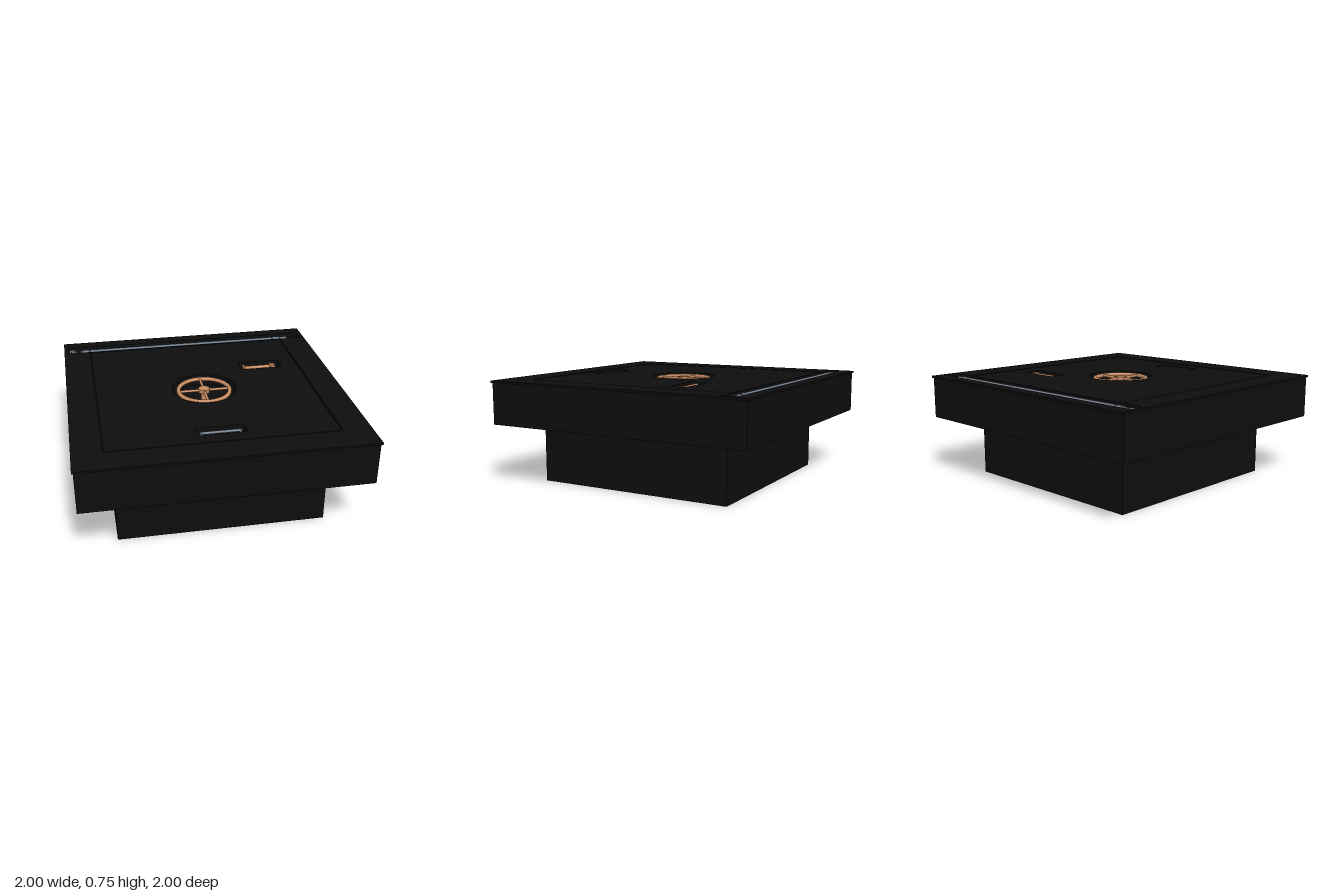
import * as THREE from 'three';

const black = new THREE.MeshStandardMaterial({ name: 'black', color: 0x0d0d0d });
const steel = new THREE.MeshStandardMaterial({ name: 'steel', color: 0x6f7b87 });
const copper = new THREE.MeshStandardMaterial({ name: 'copper', color: 0xc68a5e });

const FLOOR = 0.655, TOP = 0.745;

export function createModel() {
  const root = new THREE.Group();
  root.name = 'floorHatch';

  const add = (name, geo, mat, x = 0, y = 0, z = 0, parent = root) => {
    const m = new THREE.Mesh(geo, mat);
    m.name = name;
    m.position.set(x, y, z);
    parent.add(m);
    return m;
  };
  const box = (name, mat, w, h, d, x, y, z, parent) =>
    add(name, new THREE.BoxGeometry(w, h, d), mat, x, y, z, parent);
  // cylinder lying along x, from x0 to x1
  const rod = (name, mat, r, x0, x1, y, z, parent, sides = 24) =>
    add(name, new THREE.CylinderGeometry(r, r, x1 - x0, sides).rotateZ(Math.PI / 2),
      mat, (x0 + x1) / 2, y, z, parent);
  // closed rectangle in plan, z measured towards the front
  const rect = (C, x0, x1, z0, z1) => new C([
    new THREE.Vector2(x0, -z1), new THREE.Vector2(x1, -z1),
    new THREE.Vector2(x1, -z0), new THREE.Vector2(x0, -z0)]);
  // horizontal plate with holes
  const plate = (name, shape, holes, y0, y1) => {
    shape.holes.push(...holes);
    const geo = new THREE.ExtrudeGeometry(shape, { depth: y1 - y0, bevelEnabled: false, curveSegments: 32 });
    return add(name, geo.rotateX(-Math.PI / 2), black, 0, y0, 0);
  };

  // body
  box('lowerShaft', black, 1.47, 0.43, 1.47, 0, 0.215, 0);
  box('upperBody', black, 1.98, FLOOR - 0.43, 1.98, 0, (FLOOR + 0.43) / 2, 0);

  // surround with door opening and hinge slot, topped by a thin lip
  const openings = () => [
    rect(THREE.Path, -0.797, 0.797, -0.797, 0.797),
    rect(THREE.Path, -0.97, 0.97, -0.905, -0.803)];
  plate('surround', rect(THREE.Shape, -0.99, 0.99, -0.99, 0.99), openings(), FLOOR, 0.73);
  plate('topLip', rect(THREE.Shape, -1, 1, -1, 1), openings(), 0.73, TOP);

  // door with pockets for the wheel and handles
  const wheelPocket = new THREE.Path();
  wheelPocket.absarc(0, 0, 0.235, 0, Math.PI * 2);
  plate('door', rect(THREE.Shape, -0.788, 0.788, -0.788, 0.788), [
    wheelPocket,
    rect(THREE.Path, 0.34, 0.66, -0.385, -0.265),
    rect(THREE.Path, -0.17, 0.17, 0.59, 0.69)], FLOOR, TOP - 0.002);

  // hand wheel
  const wheel = new THREE.Group();
  wheel.name = 'handWheel';
  wheel.position.y = 0.725;
  root.add(wheel);
  add('wheelRim', new THREE.TorusGeometry(0.19, 0.015, 12, 48).rotateX(Math.PI / 2), copper, 0, 0, 0, wheel);
  for (let i = 0; i < 2; i++) {
    rod('wheelSpoke', copper, 0.01, -0.19, 0.19, 0, 0, wheel, 12).rotation.y = i * Math.PI / 2;
  }
  add('wheelHub', new THREE.CylinderGeometry(0.042, 0.042, 0.03, 20), copper, 0, 0, 0, wheel);
  add('wheelStem', new THREE.CylinderGeometry(0.025, 0.025, 0.07, 16), copper, 0, -0.035, 0, wheel);

  // copper latch lever
  const latch = new THREE.Group();
  latch.name = 'latchLever';
  latch.position.set(0, 0.725, -0.325);
  root.add(latch);
  rod('leverBar', copper, 0.013, 0.375, 0.6, 0, 0, latch, 12);
  box('leverCrossbar', copper, 0.016, 0.02, 0.08, 0.378, 0, 0, latch);
  box('leverBlock', copper, 0.04, 0.09, 0.04, 0.6, -0.03, 0, latch);

  // steel pull handle
  rod('pullHandle', steel, 0.01, -0.14, 0.14, 0.728, 0.64, root, 12);
  for (const s of [-1, 1]) box('pullHandlePost', steel, 0.016, 0.08, 0.02, s * 0.135, 0.695, 0.64);

  // hinge barrel with end fittings
  const hinge = new THREE.Group();
  hinge.name = 'hingeBarrel';
  hinge.position.set(0, 0.702, -0.85);
  root.add(hinge);
  rod('barrel', steel, 0.039, -0.795, 0.735, 0, 0, hinge);
  rod('barrelCollar', steel, 0.04, -0.85, -0.8, 0, 0, hinge);
  rod('barrelCollar', steel, 0.041, 0.74, 0.8, 0, 0, hinge);
  rod('barrelEnd', steel, 0.038, 0.805, 0.86, 0, 0, hinge);
  rod('barrelSleeve', black, 0.033, 0.86, 0.95, 0, 0, hinge);
  rod('neck', steel, 0.018, -0.93, -0.85, 0, 0.005, hinge, 16);
  box('neckFlange', steel, 0.02, 0.06, 0.05, -0.862, 0, 0.005, hinge);
  box('valveBody', steel, 0.05, 0.06, 0.045, -0.92, 0, 0.014, hinge);
  rod('valveStem', steel, 0.01, -0.96, -0.91, 0.02, -0.04, hinge, 12);
  box('valveArm', steel, 0.015, 0.04, 0.06, -0.93, 0.01, -0.02, hinge);
  box('valveCap', steel, 0.01, 0.03, 0.025, -0.955, 0.02, -0.04, hinge);

  return root;
}
